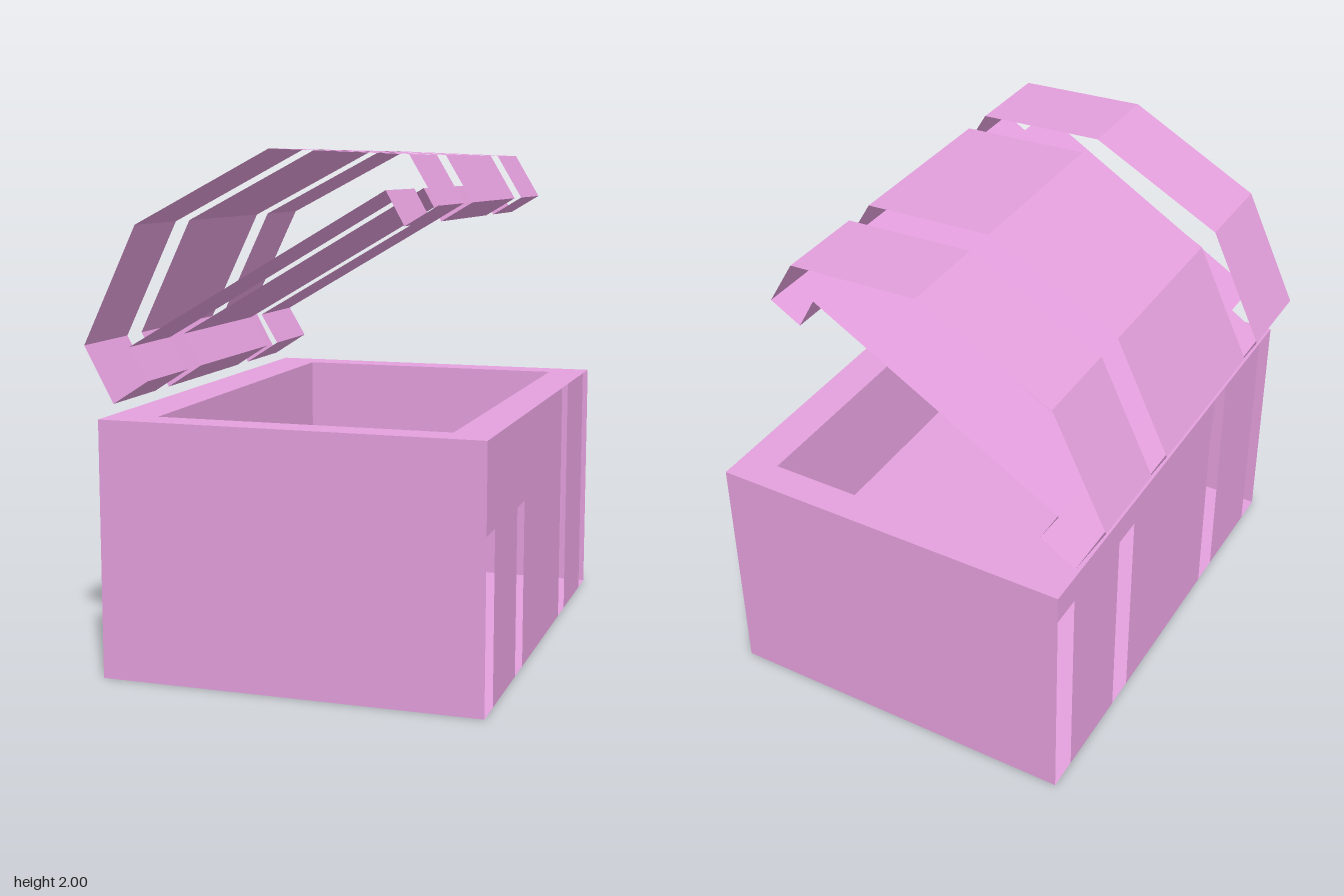
import * as THREE from 'three';

const material = new THREE.MeshStandardMaterial({
  color: 0xe39fdc, side: THREE.DoubleSide, flatShading: true,
});

// Chest extents and the sunken compartment
const BACK = -0.69, FRONT = 0.8, END = 1;
const IN_BACK = -0.505, IN_FRONT = 0.645, IN_END = 0.87, FLOOR = 0.5;

// The three boards [z0, z1] shared by both long walls and the lid
const BOARDS = [[-0.87, -0.5], [-0.37, 0.37], [0.5, 0.87]];

// Closed lid section (x, y), tilted open about the back edge
const LID = [
  [-0.69, 1.04], [-0.808, 1.26], [-0.587, 1.72], [-0.05, 2.0],
  [0.476, 1.978], [0.582, 1.8],                    // outer arch
  [0.46, 1.727], [0.39, 1.853],                    // front rim and step
  [-0.62, 1.26], [-0.545, 1.133],                  // ceiling, back step and rim
];

// Sweeps an (x, y) line along z into an open sheet
function sweep(points, z0, z1, closed) {
  const pos = [];
  const count = closed ? points.length : points.length - 1;
  for (let i = 0; i < count; i++) {
    const [ax, ay] = points[i];
    const [bx, by] = points[(i + 1) % points.length];
    pos.push(ax, ay, z0, ax, ay, z1, bx, by, z1, ax, ay, z0, bx, by, z1, bx, by, z0);
  }
  const geometry = new THREE.BufferGeometry();
  geometry.setAttribute('position', new THREE.Float32BufferAttribute(pos, 3));
  geometry.computeVertexNormals();
  return geometry;
}

function rectangle(x0, x1, y0, y1, Kind = THREE.Shape) {
  return new Kind([[x0, y0], [x1, y0], [x1, y1], [x0, y1]]
    .map(([x, y]) => new THREE.Vector2(x, y)));
}

function add(group, name, geometry) {
  const mesh = new THREE.Mesh(geometry, material);
  mesh.name = name;
  group.add(mesh);
  return mesh;
}

export function createModel() {
  const model = new THREE.Group();
  model.name = 'openChest';

  const base = new THREE.Group();
  base.name = 'base';
  const lid = new THREE.Group();
  lid.name = 'lid';
  model.add(base, lid);

  // Bottom panel
  add(base, 'bottom', sweep([[FRONT, 0], [BACK, 0]], -END, END));

  // Solid end walls and the ends of the compartment
  for (const side of [-1, 1]) {
    const wall = add(base, 'endWall', new THREE.ShapeGeometry(rectangle(BACK, FRONT, 0, 1)));
    wall.position.z = side * END;
    if (side < 0) {
      wall.rotation.y = Math.PI;
      wall.position.x = BACK + FRONT;
    }
    const inner = add(base, 'compartmentEnd',
      new THREE.ShapeGeometry(rectangle(IN_BACK, IN_FRONT, FLOOR, 1)));
    inner.position.z = side * IN_END;
  }

  // Top rim around the opening
  const rim = rectangle(BACK, FRONT, -END, END);
  rim.holes.push(rectangle(IN_BACK, IN_FRONT, -IN_END, IN_END, THREE.Path));
  add(base, 'topRim', new THREE.ShapeGeometry(rim).rotateX(-Math.PI / 2).translate(0, 1, 0));

  // Compartment floor with its two long walls
  add(base, 'compartment', sweep(
    [[IN_BACK, 1], [IN_BACK, FLOOR], [IN_FRONT, FLOOR], [IN_FRONT, 1]], -IN_END, IN_END));

  // Boards of the long walls with open slots between, and the lid sections
  for (const [z0, z1] of BOARDS) {
    add(base, 'frontBoard', sweep([[FRONT, 1], [FRONT, 0]], z0, z1));
    add(base, 'backBoard', sweep([[BACK, 0], [BACK, 1]], z0, z1));
    add(lid, 'lidSection', sweep(LID, z0, z1, true));
  }

  // Centre the footprint: the lid overhangs the back by as much as the front reaches
  return model;
}
